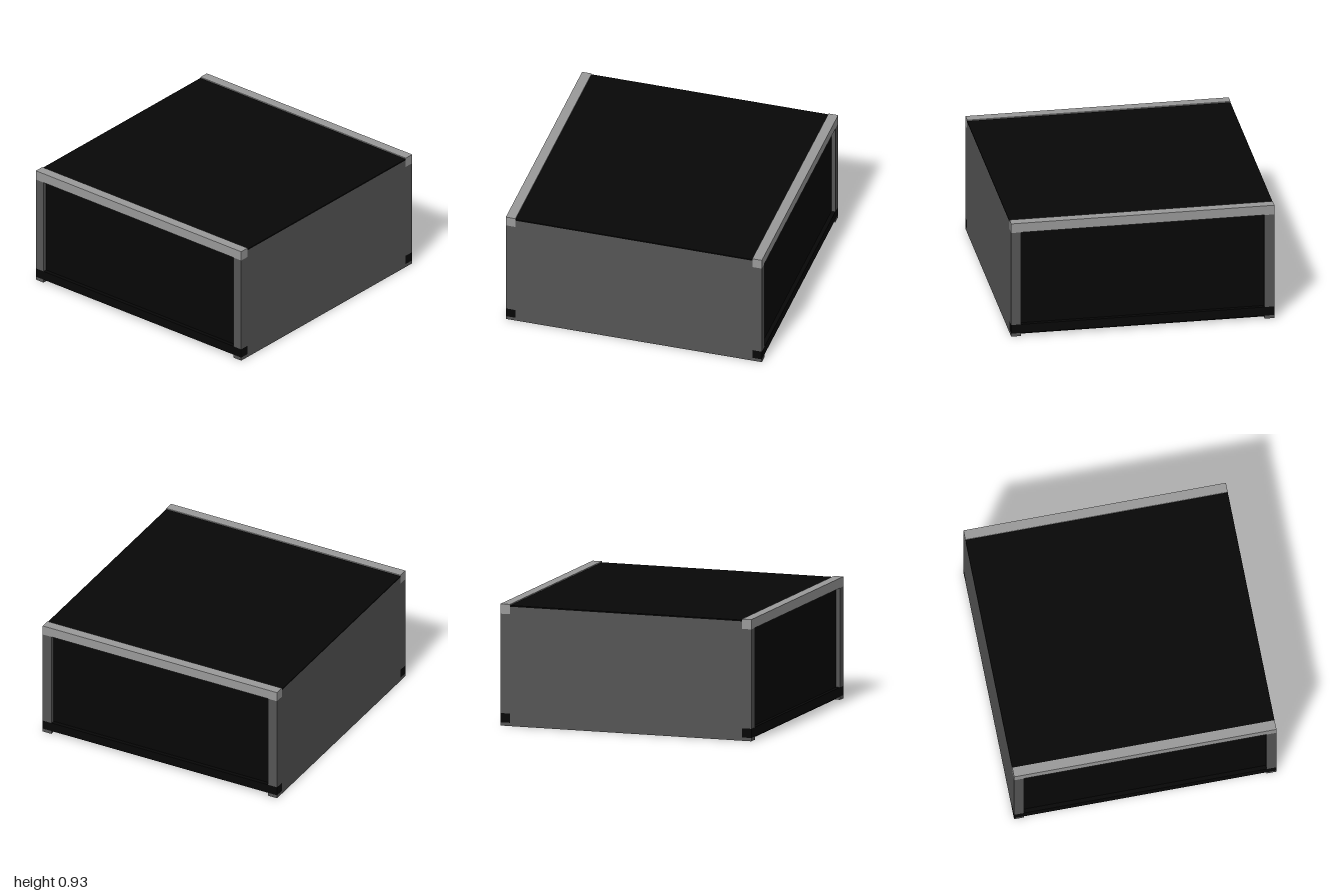
import * as THREE from 'three';

const W = 1;        // half width and half depth
const T = 0.075;    // frame thickness
const H = 0.925;    // overall height
const TOP = 0.917;  // height of the top panel

const dark = new THREE.MeshStandardMaterial({ color: 0x070707 });
const sideGrey = new THREE.MeshStandardMaterial({ color: 0x555555 });
const railGrey = new THREE.MeshStandardMaterial({ color: 0x999999 });

// Box given by its lower and upper corners
function block(name, material, [x0, y0, z0], [x1, y1, z1]) {
  const geometry = new THREE.BoxGeometry(x1 - x0, y1 - y0, z1 - z0);
  geometry.translate((x0 + x1) / 2, (y0 + y1) / 2, (z0 + z1) / 2);
  const mesh = new THREE.Mesh(geometry, material);
  mesh.name = name;
  return mesh;
}

// Side slab, notched at its corners for the rails and crossbars
function sideSlab(name, x) {
  const half = [[W, 0], [W, 0.025], [W - T, 0.025], [W - T, 0.095],
    [W, 0.095], [W, H - T], [W - T, H - T], [W - T, TOP - 0.01]];
  const mirrored = half.map(([z, y]) => [-z, y]).reverse();
  const shape = new THREE.Shape([...half, ...mirrored].map(([z, y]) => new THREE.Vector2(z, y)));
  const geometry = new THREE.ExtrudeGeometry(shape, { depth: T, bevelEnabled: false });
  geometry.translate(0, 0, -T / 2).rotateY(Math.PI / 2);
  const mesh = new THREE.Mesh(geometry, sideGrey);
  mesh.name = name;
  mesh.position.x = x;
  return mesh;
}

export function createModel() {
  const model = new THREE.Group();
  model.name = 'box';
  const inner = W - T;

  model.add(sideSlab('leftSide', W - T / 2), sideSlab('rightSide', -W + T / 2));

  // Top and bottom panels
  model.add(block('topPanel', dark, [-W, TOP - 0.01, -inner], [W, TOP, inner]));
  model.add(block('bottomPanel', dark, [-inner, 0.006, -0.97], [inner, 0.03, 0.97]));

  // Front and back: recessed panel, top rail and low crossbar
  for (const [end, turn] of [['front', 0], ['back', Math.PI]]) {
    const group = new THREE.Group();
    group.name = end;
    group.rotation.y = turn;
    group.add(
      block(end + 'Panel', dark, [-inner, 0.03, 0.94], [inner, H - T, 0.969]),
      block(end + 'TopRail', railGrey, [-W, H - T, inner], [W, H, W]),
      block(end + 'Crossbar', dark, [-W, 0.025, inner], [W, 0.095, W]),
    );
    model.add(group);
  }
  return model;
}
